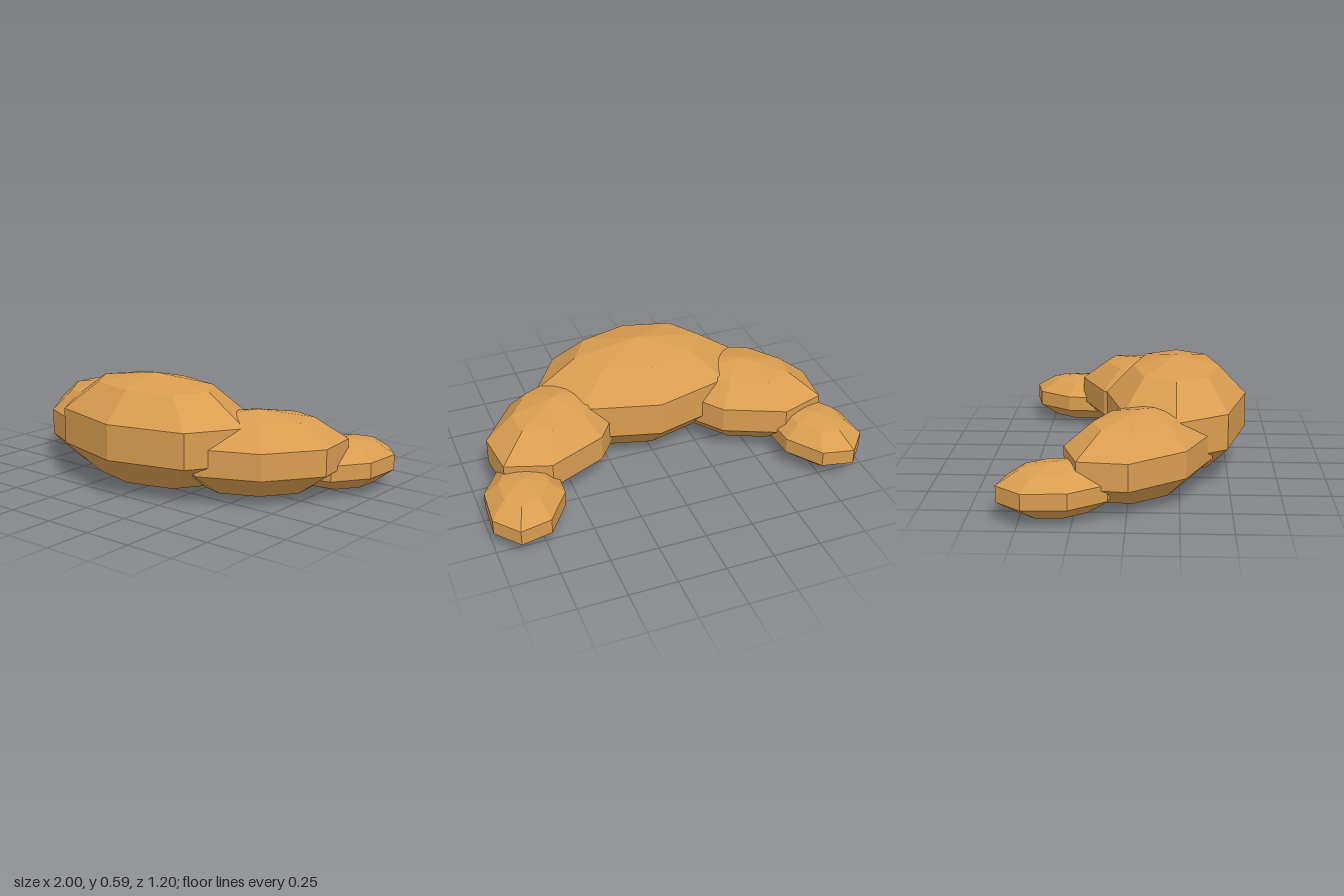
import * as THREE from 'three';

export function createModel() {
  const model = new THREE.Group();
  model.name = 'croissant';

  const crust = new THREE.MeshStandardMaterial({ color: 0xd99d50, flatShading: true });
  crust.name = 'golden crust';

  // Faceted ball shared by every dough segment
  const ball = new THREE.SphereGeometry(1, 8, 5);

  function segment(name, [x, y, z], [rx, ry, rz], turn) {
    const mesh = new THREE.Mesh(ball, crust);
    mesh.name = name;
    mesh.position.set(x, y, z);
    mesh.scale.set(rx, ry, rz);
    mesh.rotation.y = turn;
    model.add(mesh);
  }

  // Large middle of the crescent
  segment('middleSegment', [0, 0.297, 0.23], [0.595, 0.295, 0.384], 0);

  // Each arm curves back to a small tip
  for (const [side, s] of [['left', 1], ['right', -1]]) {
    segment(side + 'ArmSegment', [s * 0.522, 0.227, 0.054], [0.474, 0.22, 0.304], s * 0.68);
    segment(side + 'TipSegment', [s * 0.798, 0.142, -0.325], [0.306, 0.131, 0.211], s * 1.24);
  }

  return model;
}
